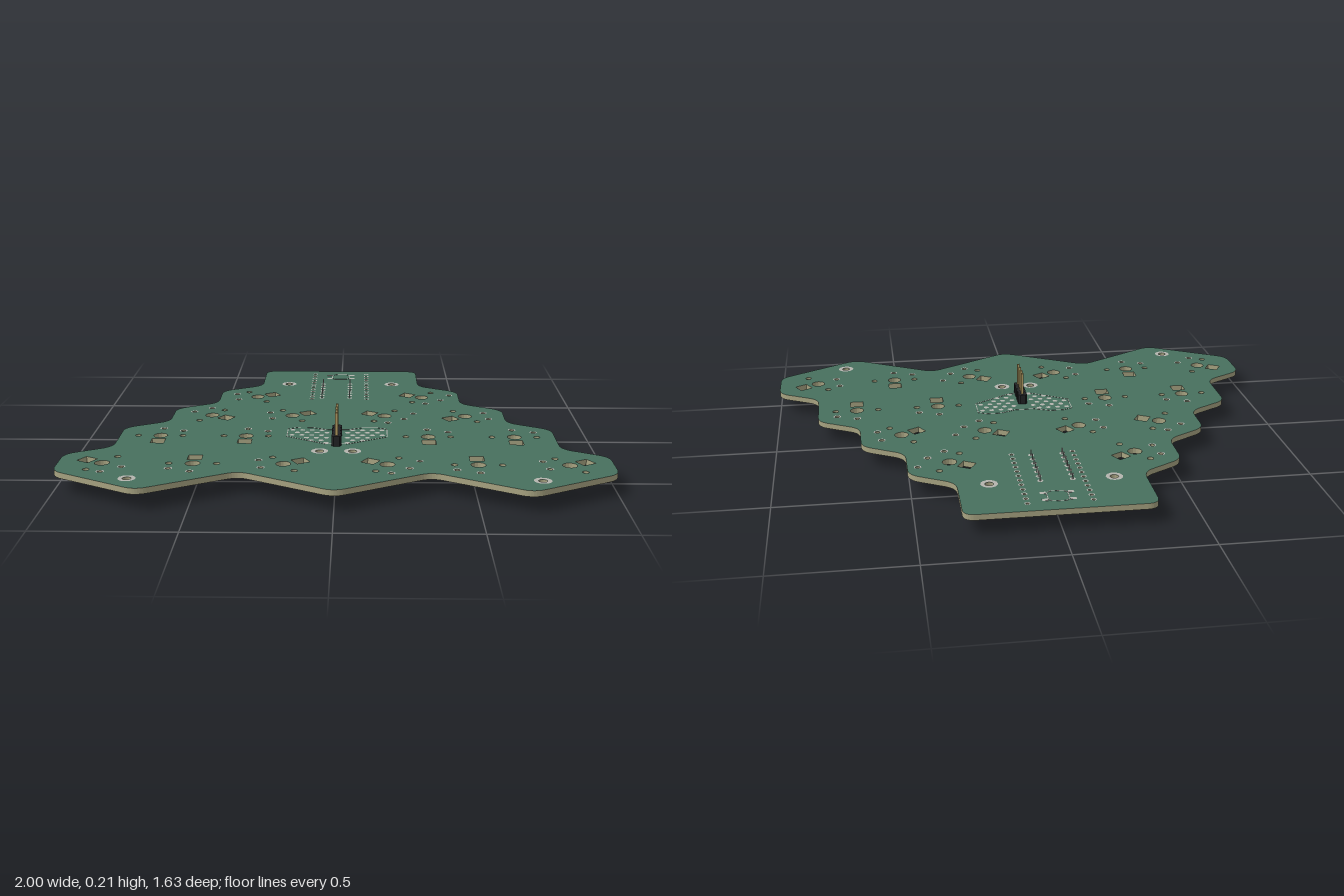
import * as THREE from 'three';
import { mergeGeometries } from 'three/addons/utils/BufferGeometryUtils.js';

const TOP = 0.083, BOTTOM = 0.061;
const mat = (color) => new THREE.MeshStandardMaterial({ color });
const V = (x, z) => new THREE.Vector2(x, z);

// Closed shape whose corners are softened by a small curve
function roundedShape(points, r) {
  const shape = new THREE.Shape(), n = points.length;
  points.forEach((p, i) => {
    const toward = (q) => p.clone().add(q.clone().sub(p).setLength(r));
    const a = toward(points[(i + n - 1) % n]), b = toward(points[(i + 1) % n]);
    i === 0 ? shape.moveTo(a.x, a.y) : shape.lineTo(a.x, a.y);
    shape.quadraticCurveTo(p.x, p.y, b.x, b.y);
  });
  shape.closePath();
  return shape;
}

function box(w, h, d, x, y, z) {
  return new THREE.BoxGeometry(w, h, d).translate(x, y, z);
}

// Flat strip on the board's upper face from a to b
function strip(a, b, w = 0.003) {
  const d = b.clone().sub(a);
  return new THREE.BoxGeometry(d.length(), 0.001, w)
    .rotateY(-d.angle())
    .translate((a.x + b.x) / 2, TOP + 0.0005, (a.y + b.y) / 2);
}

const loop = (pts) => pts.map((p, i) => strip(p, pts[(i + 1) % pts.length]));

// Plated rings on both faces of the board
function rings(x, z, inner, outer) {
  return [
    new THREE.RingGeometry(inner, outer, 14).rotateX(-Math.PI / 2).translate(x, TOP + 0.001, z),
    new THREE.RingGeometry(inner, outer, 14).rotateX(Math.PI / 2).translate(x, BOTTOM - 0.001, z),
  ];
}

export function createModel() {
  const group = new THREE.Group();
  const add = (name, geometries, material) => {
    const mesh = new THREE.Mesh(mergeGeometries(geometries.map((g) => (g.index ? g.toNonIndexed() : g))), material);
    mesh.name = name;
    group.add(mesh);
  };
  const green = mat(0x47705e), edge = mat(0xa8a482), silver = mat(0xb4b4ae);
  const black = mat(0x222325), gold = mat(0xb39c62);

  // Stepped board outline, right half mirrored to the left
  const half = [
    [0.342, -0.82], [0.342, -0.56], [0.508, -0.465], [0.508, -0.275], [0.671, -0.18],
    [0.671, 0], [0.836, 0.094], [0.836, 0.34], [1, 0.433], [1, 0.625],
    [0.676, 0.815], [0.342, 0.62],
  ].map(([x, z]) => V(x, z));
  const outline = [...half, V(0, 0.818), ...half.map((p) => V(-p.x, p.y)).reverse()];
  const shape = roundedShape(outline, 0.045);

  const plated = [];
  const drill = (x, z, r, ringRadius = 0) => {
    const path = new THREE.Path();
    path.absarc(x, z, r, 0, Math.PI * 2, true);
    shape.holes.push(path);
    if (ringRadius) plated.push(...rings(x, z, r, ringRadius));
  };

  // Key positions: x, z and the direction of the light window in degrees
  const keys = [
    [-0.35, -0.372, 120], [0.35, -0.372, 240],
    [-0.513, -0.088, 60], [-0.187, -0.088, 120], [0.187, -0.088, 240], [0.513, -0.088, 300],
    [-0.68, 0.195, 0], [-0.35, 0.195, 0], [0.35, 0.195, 0], [0.68, 0.195, 0],
    [-0.84, 0.532, 240], [-0.513, 0.532, 180], [-0.187, 0.532, 120],
    [0.187, 0.532, 240], [0.513, 0.532, 180], [0.84, 0.532, 120],
  ];
  for (const [cx, cz, deg] of keys) {
    const s = Math.sin(deg * Math.PI / 180), c = Math.cos(deg * Math.PI / 180);
    const at = (x, z) => V(cx + x * c + z * s, cz - x * s + z * c);
    drill(cx, cz, 0.027);
    for (const [x, z] of [[0, -0.09], [0.08, -0.06]]) {
      const p = at(x, z);
      drill(p.x, p.y, 0.01, 0.015);
    }
    for (const x of [-0.086, 0.086]) {
      const p = at(x, 0);
      drill(p.x, p.y, 0.012);
    }
    const h = 0.026, win = [[-h, -h], [-h, h], [h, h], [h, -h]].map(([x, z]) => at(x, 0.07 + z));
    shape.holes.push(new THREE.Path(win));
  }
  // Extra pin holes beside three keys
  for (const [x, z] of [[0.47, -0.405], [0.305, -0.12], [0.305, 0.495]]) drill(x, z, 0.009, 0.014);

  // Mounting holes with wide rings
  for (const [x, z] of [[0.227, -0.585], [0.72, 0.703], [0.061, 0.383]])
    for (const side of [-1, 1]) drill(side * x, z, 0.016, 0.032);

  // Controller pin rows
  for (const x of [-0.117, 0.115])
    for (let i = 0; i < 12; i++) drill(x, -0.762 + i * 0.0383, 0.006, 0.011);

  // Underside chip: bevelled body and two rows of legs through the board
  const chipX = -0.016, legs = [], chip = [];
  const profile = [V(-0.04, 0.006), V(0.04, 0.006), V(0.048, 0.03), V(0.042, 0.052), V(-0.042, 0.052), V(-0.048, 0.03)];
  chip.push(new THREE.ExtrudeGeometry(new THREE.Shape(profile), {
    depth: 0.272, bevelThickness: 0.006, bevelSize: 0.005, bevelOffset: -0.002, bevelSegments: 1,
  }).translate(chipX, 0, -0.606));
  for (const side of [-1, 1])
    for (let i = 0; i < 7; i++) {
      const z = -0.585 + i * 0.0382, x = chipX + side * 0.059;
      plated.push(...rings(x, z, 0.004, 0.011));
      legs.push(
        box(0.004, 0.078, 0.006, x, 0.067, z),
        box(0.004, 0.026, 0.018, x, 0.042, z),
        box(0.02, 0.004, 0.018, x - side * 0.008, 0.03, z),
      );
    }

  // Upright four-pin header
  const headerBlocks = [], headerPins = [];
  for (let i = 0; i < 4; i++) {
    const z = 0.189 + i * 0.0388, w = 0.018, d = 0.0194, k = 0.007;
    const block = new THREE.Shape([
      V(-w + k, -d), V(w - k, -d), V(w, -d + k), V(w, d - k),
      V(w - k, d), V(-w + k, d), V(-w, d - k), V(-w, -d + k),
    ]);
    headerBlocks.push(new THREE.ExtrudeGeometry(block, { depth: 0.039, bevelEnabled: false })
      .rotateX(Math.PI / 2).translate(0, TOP + 0.039, z));
    headerPins.push(box(0.01, 0.172, 0.01, 0, 0.124, z));
    plated.push(...rings(0, z, 0.004, 0.014));
  }

  // Field of small round pads narrowing toward the front, with its border
  const pads = [];
  const disc = (x, z) => pads.push(new THREE.CircleGeometry(0.011, 6).rotateX(-Math.PI / 2).translate(x, TOP + 0.001, z));
  [[0.06, 0.098, 0.136, 0.174], [0.04, 0.079, 0.117, 0.155], [0.06, 0.098, 0.136, 0.174],
    [0.04, 0.079, 0.117], [0.06, 0.098], [0.04]].forEach((row, i) => {
    for (const x of row) for (const side of [-1, 1]) disc(side * x, 0.118 + i * 0.033);
  });
  const border = [[0.04, 0.11], [0.1, 0.083], [0.155, 0.083], [0.193, 0.1], [0.193, 0.2], [0.04, 0.295]];
  const lines = loop([...border.map(([x, z]) => V(x, z)), ...border.map(([x, z]) => V(-x, z)).reverse()]);

  // Reset button footprint
  const b = [[-0.025, -0.04], [0.025, -0.04], [0.038, -0.025], [0.038, 0.025], [0.025, 0.04], [-0.025, 0.04], [-0.038, 0.025], [-0.038, -0.025]];
  lines.push(...loop(b.map(([x, z]) => V(x, -0.714 + z))));
  for (const sx of [-1, 1])
    for (const sz of [-1, 1]) pads.push(box(0.022, 0.001, 0.016, sx * 0.05, TOP + 0.0005, -0.714 + sz * 0.028));

  // Board plate with green faces and pale cut edges
  const board = new THREE.Mesh(
    new THREE.ExtrudeGeometry(shape, { depth: TOP - BOTTOM, bevelEnabled: false, curveSegments: 8 })
      .rotateX(Math.PI / 2).translate(0, TOP, 0),
    [green, edge],
  );
  board.name = 'circuitBoard';
  group.add(board);

  add('platedRings', plated, silver);
  add('solderPads', pads, silver);
  add('printedLines', lines, silver);
  add('chipBody', chip, black);
  add('chipLegs', legs, silver);
  add('headerBlock', headerBlocks, black);
  add('headerPins', headerPins, gold);
  return group;
}
